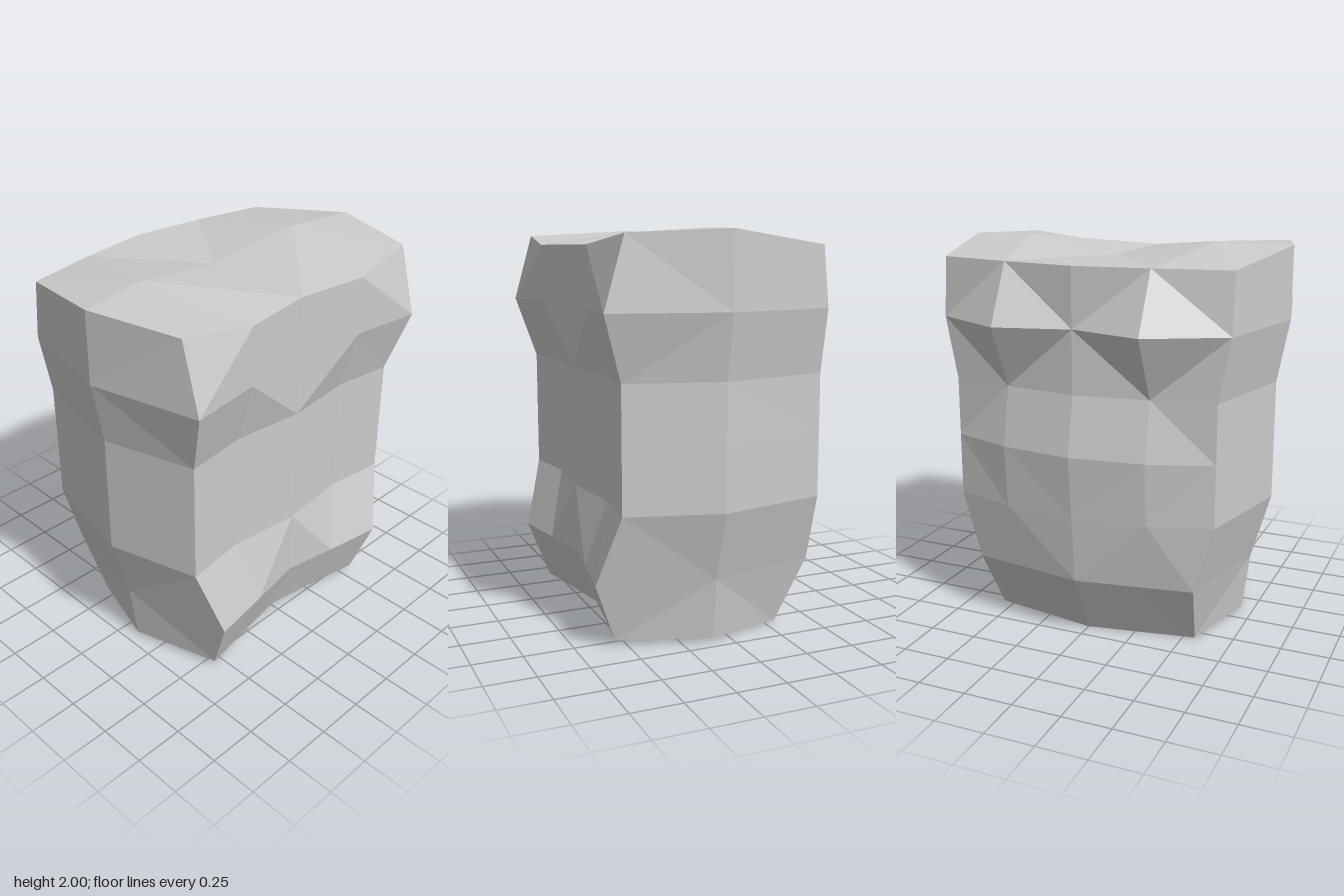
import * as THREE from 'three';

// Half rings from the top down. Each runs front centre, front mid, front corner,
// side, back corner, back mid, back centre, as [x, y, z].
const rings = [
  [[0, 1.92, 0.57], [0.38, 1.92, 0.62], [0.76, 1.97, 0.57], [0.89, 1.99, 0.1], [0.76, 1.92, -0.44], [0.38, 1.92, -0.52], [0, 1.92, -0.57]],
  level(1.62, [0, 0.38, 0.76, 0.89, 0.76, 0.38, 0], [0.57, 0.62, 0.67, 0.1, -0.47, -0.67, -0.57]),
  level(1.3, [0, 0.38, 0.7, 0.83, 0.7, 0.38, 0], [0.57, 0.53, 0.57, 0.1, -0.47, -0.52, -0.57]),
  level(1.0, [0, 0.38, 0.7, 0.83, 0.7, 0.38, 0], [0.57, 0.53, 0.57, 0.1, -0.47, -0.58, -0.63]),
  level(0.68, [0, 0.38, 0.7, 0.83, 0.7, 0.38, 0], [0.57, 0.53, 0.57, 0.1, -0.47, -0.56, -0.6]),
  level(0.33, [0, 0.29, 0.6, 0.73, 0.6, 0.3, 0], [0.57, 0.62, 0.67, 0.1, -0.47, -0.52, -0.57]),
  [[0, 0.03, 0.465], [0.28, 0.03, 0.51], [0.56, 0.03, 0.56], [0.69, 0.02, 0.1], [0.56, 0, -0.31], [0.28, 0, -0.36], [0, 0, -0.41]],
];

// Diagonal of each quad between two rings: d falls, u rises, from front to back.
const diagonals = ['ddduud', 'ududdu', 'ddddud', 'dddddd', 'ddduud', 'ddudud'];

function level(y, xs, zs) {
  return xs.map((x, i) => [x, y, zs[i]]);
}

// Builds a faceted mesh from triangles of one half, mirrored in x.
function mirroredMesh(name, triangles, material) {
  const positions = [];
  for (const [a, b, c] of triangles) {
    positions.push(...a, ...b, ...c);
    for (const p of [a, c, b]) positions.push(-p[0], p[1], p[2]);
  }
  const geometry = new THREE.BufferGeometry();
  geometry.setAttribute('position', new THREE.Float32BufferAttribute(positions, 3));
  geometry.computeVertexNormals();
  const mesh = new THREE.Mesh(geometry, material);
  mesh.name = name;
  return mesh;
}

export function createModel() {
  const material = new THREE.MeshStandardMaterial({ color: 0xcccccc, flatShading: true });
  const group = new THREE.Group();
  group.name = 'torso';

  // Chest, waist and back walls
  const walls = [];
  diagonals.forEach((row, r) => {
    [...row].forEach((diagonal, i) => {
      const a = rings[r][i], b = rings[r][i + 1];
      const e = rings[r + 1][i], c = rings[r + 1][i + 1];
      if (diagonal === 'd') walls.push([a, e, c], [a, c, b]);
      else walls.push([a, e, b], [e, c, b]);
    });
  });
  group.add(mirroredMesh('torsoWalls', walls, material));

  // Shoulder top with a raised point on each side and a dip at the neck
  const top = rings[0];
  const neck = [0, 1.92, 0];
  const shoulder = [0.52, 2, 0.05];
  const rim = [...top.slice(0, 6), neck];
  const cap = rim.map((p, i) => [shoulder, p, rim[(i + 1) % rim.length]]);
  cap.push([neck, top[5], top[6]]);
  group.add(mirroredMesh('shoulderTop', cap, material));

  // Underside of the waist
  const bottom = rings[rings.length - 1];
  const centre = [0, 0.015, 0.05];
  const base = bottom.slice(1).map((p, i) => [centre, p, bottom[i]]);
  group.add(mirroredMesh('waistBase', base, material));

  return group;
}
